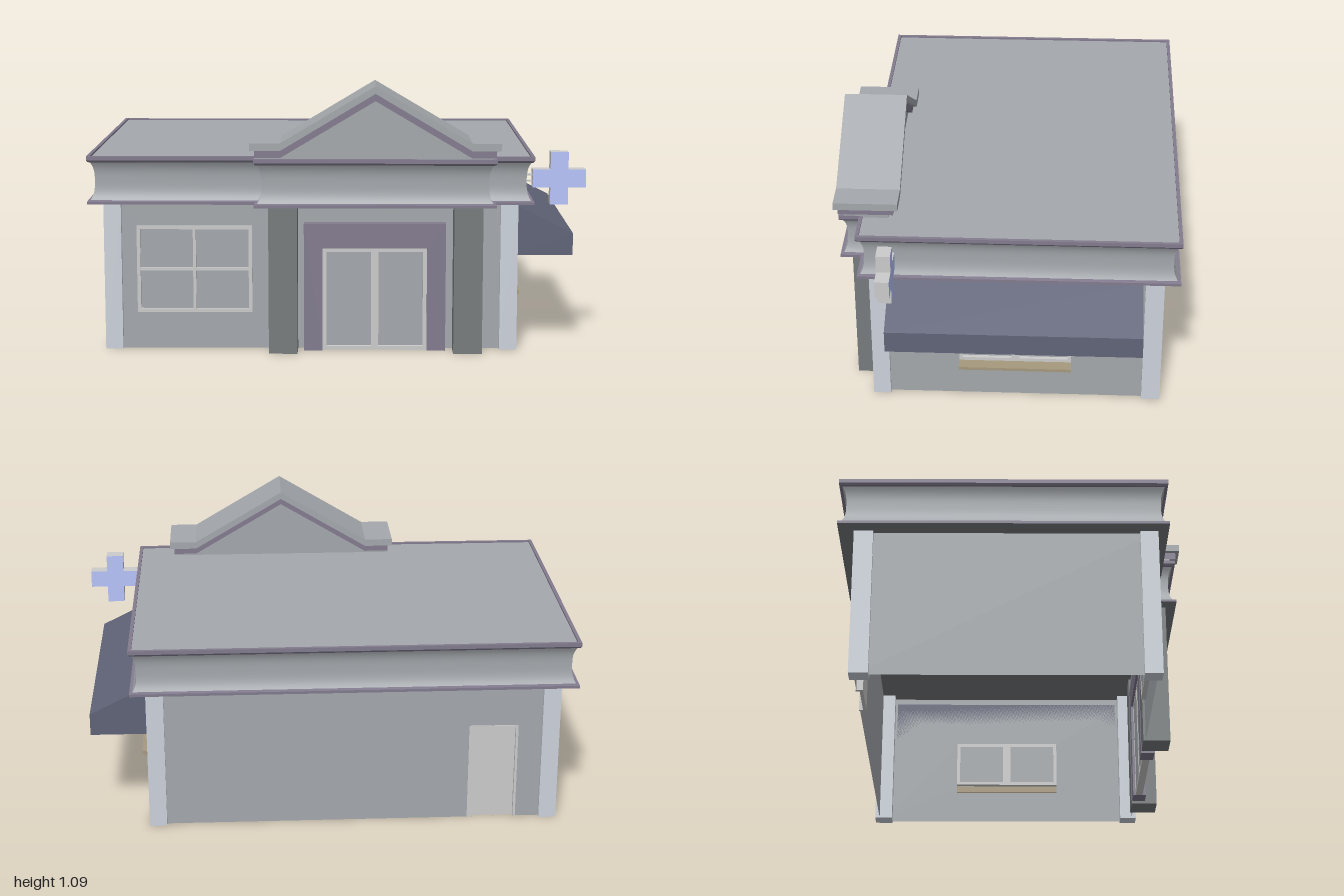
import * as THREE from 'three';
import { toCreasedNormals } from 'three/addons/utils/BufferGeometryUtils.js';

const mat = (color) => new THREE.MeshStandardMaterial({ color, side: THREE.DoubleSide });
const WALL = mat(0xa4a8ac), TRIM = mat(0xcdd3dc), DARK = mat(0x777b7d), PURPLE = mat(0x827b8e);
const AWNING = mat(0x606478), SILL = mat(0xa6997e), BLUE = mat(0xb8c4fc), GREY = mat(0xcccccc);

function add(parent, name, geometry, material) {
  const mesh = new THREE.Mesh(geometry, material);
  mesh.name = name;
  parent.add(mesh);
  return mesh;
}

// Box given by its lower and upper limits on each axis
function box(parent, name, [x0, x1], [y0, y1], [z0, z1], material) {
  const m = add(parent, name, new THREE.BoxGeometry(x1 - x0, y1 - y0, z1 - z0), material);
  m.position.set((x0 + x1) / 2, (y0 + y1) / 2, (z0 + z1) / 2);
  return m;
}

const poly = (pts) => new THREE.Shape(pts.map(([x, y]) => new THREE.Vector2(x, y)));
const rect = (x0, x1, y0, y1) => poly([[x0, y0], [x1, y0], [x1, y1], [x0, y1]]);

function extrude(shape, z0, z1) {
  const g = new THREE.ExtrudeGeometry(shape, { depth: z1 - z0, bevelEnabled: false });
  return g.translate(0, 0, z0);
}

// Thin wall in its own xy plane, with rectangular openings
function wall(parent, name, x0, x1, openings = []) {
  const s = rect(x0, x1, 0, 0.6);
  openings.forEach((o) => s.holes.push(rect(...o)));
  return add(parent, name, new THREE.ShapeGeometry(s), WALL);
}

// Framed panes: border b, mullion m, frame from z0 to z1
function glazing(parent, name, [x0, x1, y0, y1], cols, rows, b, m, z0, z1, material) {
  const s = rect(x0, x1, y0, y1);
  const w = (x1 - x0 - 2 * b - (cols - 1) * m) / cols;
  const h = (y1 - y0 - 2 * b - (rows - 1) * m) / rows;
  for (let i = 0; i < cols; i++) {
    for (let j = 0; j < rows; j++) {
      const px = x0 + b + i * (w + m), py = y0 + b + j * (h + m);
      s.holes.push(rect(px, px + w, py, py + h));
    }
  }
  add(parent, name + 'Frame', extrude(s, z0, z1), material);
  box(parent, name + 'Panes', [x0 + b / 2, x1 - b / 2], [y0 + b / 2, y1 - b / 2],
    [z0 + 0.002, (z0 + z1) / 2], WALL);
}

// Building outline in x, z, with the porch projecting at the front
const OUTLINE = [[-0.94, -0.625], [0.725, -0.625], [0.725, 0.53], [0.57, 0.53], [0.57, 0.612],
  [-0.27, 0.612], [-0.27, 0.53], [-0.94, 0.53]];

// Outline moved outward by d, with mitred corners
function offsetOutline(d) {
  const n = OUTLINE.length;
  const normal = (i) => {
    const [ax, az] = OUTLINE[i % n], [bx, bz] = OUTLINE[(i + 1) % n];
    return [Math.sign(bz - az), -Math.sign(bx - ax)];
  };
  return OUTLINE.map(([x, z], i) => {
    const a = normal(i + n - 1), b = normal(i);
    return [x + d * (a[0] + b[0]), z + d * (a[1] + b[1])];
  });
}

// Sweep a profile of [offset, height] points around the outline
function sweep(profile) {
  const v = [], n = OUTLINE.length;
  for (let k = 0; k < profile.length - 1; k++) {
    const lo = offsetOutline(profile[k][0]), hi = offsetOutline(profile[k + 1][0]);
    const y0 = profile[k][1], y1 = profile[k + 1][1];
    for (let i = 0; i < n; i++) {
      const j = (i + 1) % n;
      const a = [lo[i][0], y0, lo[i][1]], b = [lo[j][0], y0, lo[j][1]];
      const c = [hi[j][0], y1, hi[j][1]], d = [hi[i][0], y1, hi[i][1]];
      v.push(...a, ...d, ...c, ...a, ...c, ...b);
    }
  }
  const g = new THREE.BufferGeometry();
  g.setAttribute('position', new THREE.Float32BufferAttribute(v, 3));
  g.computeVertexNormals();
  return toCreasedNormals(g, 0.6);
}

function slab(d, y) {
  const g = new THREE.ShapeGeometry(poly(offsetOutline(d).map(([x, z]) => [x, -z])));
  return g.rotateX(-Math.PI / 2).translate(0, y, 0);
}

export function createModel() {
  const model = new THREE.Group();
  const group = (name) => {
    const g = new THREE.Group();
    g.name = name;
    model.add(g);
    return g;
  };

  // Front wall with window and entrance
  const front = group('frontSide');
  front.position.z = 0.53;
  const bigWindow = [-0.81, -0.345, 0.15, 0.505];
  wall(front, 'frontWall', -0.92, 0.705, [bigWindow, [-0.135, 0.435, 0.0001, 0.52]]);
  glazing(front, 'frontWindow', bigWindow, 2, 2, 0.014, 0.012, -0.02, 0.008, GREY);
  const surround = poly([[-0.135, 0], [-0.06, 0], [-0.06, 0.42], [0.36, 0.42], [0.36, 0],
    [0.435, 0], [0.435, 0.52], [-0.135, 0.52]]);
  add(front, 'doorSurround', extrude(surround, -0.01, 0.045), PURPLE);
  glazing(front, 'entranceDoors', [-0.06, 0.36, 0, 0.42], 2, 1, 0.016, 0.03, 0, 0.03, GREY);

  // Left wall (+x) with the serving window
  const side = group('leftSide');
  side.rotation.y = Math.PI / 2;
  side.position.x = 0.705;
  const hatch = [-0.195, 0.26, 0.17, 0.37];
  wall(side, 'leftWall', -0.53, 0.6, [hatch]);
  glazing(side, 'servingWindow', hatch, 2, 1, 0.014, 0.035, -0.02, 0.012, GREY);
  const sill = poly([[0.7, 0.138], [0.725, 0.138], [0.765, 0.155], [0.765, 0.168], [0.7, 0.168]]);
  add(model, 'windowSill', extrude(sill, -0.26, 0.195), SILL);

  // Back wall with the service door, and the plain right wall
  const back = group('backSide');
  back.rotation.y = Math.PI;
  back.position.z = -0.605;
  const doorway = [0.575, 0.775, 0.0001, 0.41];
  wall(back, 'backWall', -0.705, 0.92, [doorway]);
  box(back, 'backDoor', [0.575, 0.775], [0, 0.41], [-0.025, -0.012], GREY);
  const trim = poly([[0.575, 0], [0.585, 0], [0.585, 0.4], [0.765, 0.4], [0.765, 0],
    [0.775, 0], [0.775, 0.41], [0.575, 0.41]]);
  add(back, 'backDoorFrame', extrude(trim, -0.012, 0.004), GREY);
  const right = group('rightSide');
  right.rotation.y = -Math.PI / 2;
  right.position.x = -0.92;
  wall(right, 'rightWall', -0.605, 0.53);

  // Corner pillars and darker porch pillars
  for (const x of [[-0.94, -0.87], [0.655, 0.725]]) {
    for (const z of [[-0.625, -0.55], [0.48, 0.55]]) box(model, 'cornerPillar', x, [0, 0.6], z, TRIM);
  }
  for (const x of [[-0.275, -0.16], [0.465, 0.58]]) {
    box(model, 'porchPillar', x, [0, 0.6], [0.52, 0.63], DARK);
  }

  // Entablature: hollow curved band between two cornices
  const curve = Array.from({ length: 13 }, (_, i) => {
    const t = i / 6 - 1;
    return [0.03 + 0.017 * Math.abs(t) ** 3, 0.692 + 0.077 * t];
  });
  add(model, 'fascia', sweep(curve), WALL);
  add(model, 'lowerCornice', sweep([[0.06, 0.6], [0.06, 0.611], [0.045, 0.616]]), PURPLE);
  add(model, 'upperCornice', sweep([[0.045, 0.768], [0.054, 0.77], [0.06, 0.778], [0.06, 0.794],
    [0.046, 0.794], [0.046, 0.787]]), PURPLE);
  add(model, 'flatRoof', slab(0.047, 0.787), WALL);
  add(model, 'soffit', slab(0.06, 0.6), DARK);

  // Gable over the porch: two stepped chevrons and the infill
  const chevron = (y, end) => [[-0.345 + end, y], [-0.225, y], [0.15, y + 0.225],
    [0.53, y], [0.645 - end, y]];
  const band = (y, end) => poly([...chevron(y, end), ...chevron(y - 0.03, end).reverse()]);
  add(model, 'gableRoof', extrude(band(0.86, 0), 0.435, 0.69), WALL);
  add(model, 'gableMoulding', extrude(band(0.83, 0.018), 0.455, 0.675), PURPLE);
  const infill = poly([...chevron(0.801, 0.018), [0.627, 0.787], [-0.327, 0.787]]);
  add(model, 'gableInfill', extrude(infill, 0.475, 0.65), WALL);

  // Awning over the serving window
  const awning = poly([[0.705, 0.375], [0.955, 0.375], [0.955, 0.465], [0.735, 0.575], [0.705, 0.575]]);
  add(model, 'awning', extrude(awning, -0.54, 0.47), AWNING);

  // Projecting cross sign on two small brackets
  const a = 0.036, r = 0.107;
  const cross = poly([[-a, -r], [a, -r], [a, -a], [r, -a], [r, a], [a, a], [a, r], [-a, r],
    [-a, a], [-r, a], [-r, -a], [-a, -a]]);
  const sign = add(model, 'crossSign', extrude(cross, 0.437, 0.493), [BLUE, GREY]);
  sign.position.set(0.893, 0.693, 0);
  for (const y of [0.677, 0.703]) {
    box(model, 'signBracket', [0.74, 0.79], [y, y + 0.006], [0.455, 0.475], GREY);
  }
  return model;
}
